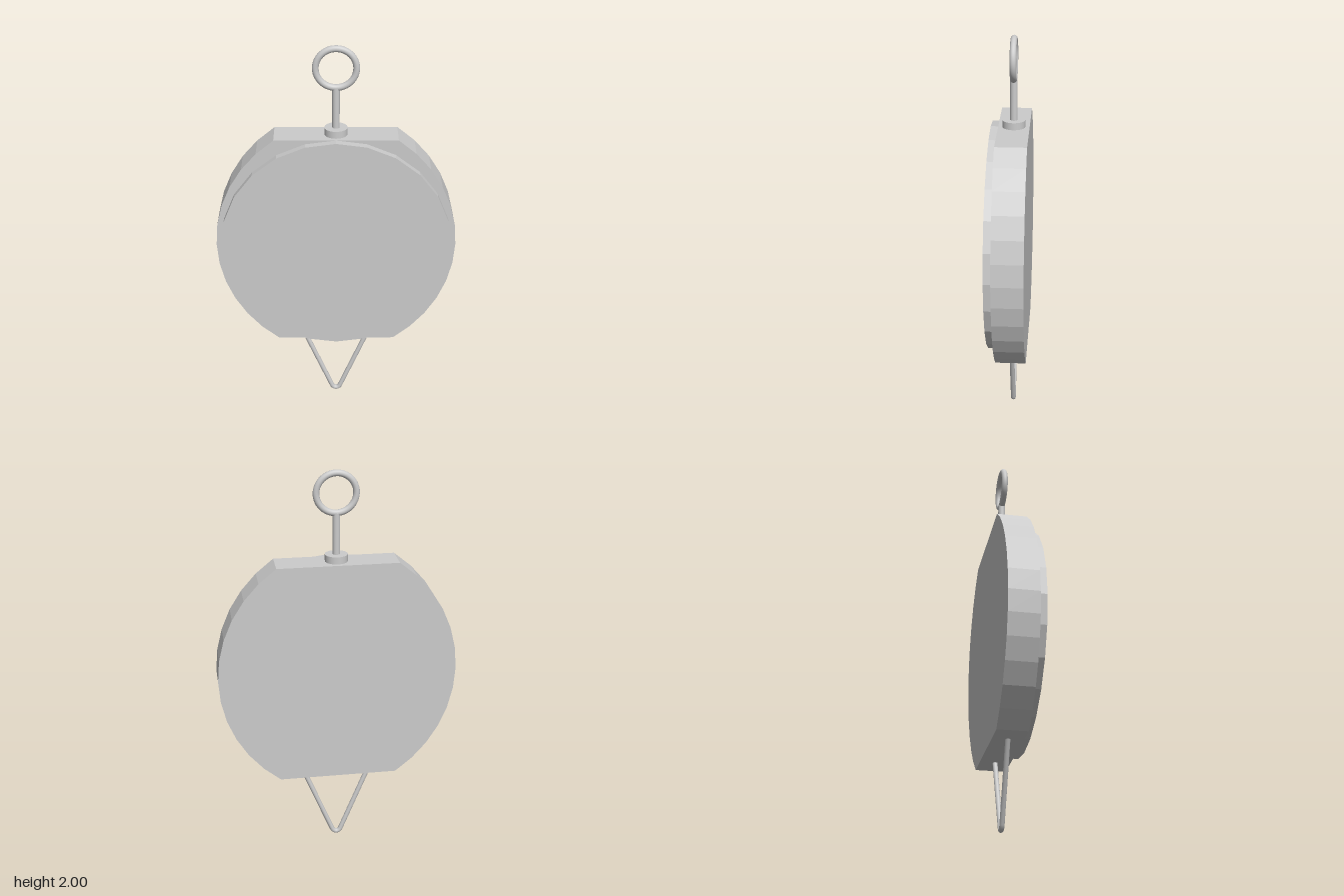
import * as THREE from 'three';

export function createModel() {
  const model = new THREE.Group();
  const flat = new THREE.MeshStandardMaterial({ color: 0xcccccc, flatShading: true });
  const smooth = new THREE.MeshStandardMaterial({ color: 0xcccccc });
  const midY = 0.975, axisZ = -0.018;

  function add(name, geometry, material, x, y, z) {
    const mesh = new THREE.Mesh(geometry, material);
    mesh.name = name;
    mesh.position.set(x, y, z);
    model.add(mesh);
    return mesh;
  }

  // Case: two bulging sides, flat top and bottom
  const halfW = 0.6, flatHalf = 0.3, halfH = 0.575;
  const sag = halfW - flatHalf;
  const radius = (halfH * halfH + sag * sag) / (2 * sag);
  const sweep = Math.asin(halfH / radius);
  const outline = [];
  for (const side of [1, -1]) {
    for (let i = 0; i <= 12; i++) {
      const a = side * sweep * (i / 6 - 1);
      outline.push(new THREE.Vector2(
        side * (halfW - radius + radius * Math.cos(a)), radius * Math.sin(a)));
    }
  }
  add('case', new THREE.ExtrudeGeometry(new THREE.Shape(outline),
    { depth: 0.153, bevelEnabled: false }), flat, 0, midY, -0.095);

  // Raised round face plate
  const plate = new THREE.CylinderGeometry(0.575, 0.575, 0.045, 24);
  plate.rotateX(Math.PI / 2);
  add('facePlate', plate, flat, 0, midY, 0.0725);

  // Collar, stem and hanging ring on top
  add('collar', new THREE.CylinderGeometry(0.056, 0.056, 0.045, 32), smooth, 0, 1.563, axisZ);
  add('stem', new THREE.CylinderGeometry(0.018, 0.018, 0.24, 20), smooth, 0, 1.67, axisZ);
  add('hangingRing', new THREE.TorusGeometry(0.097, 0.016, 14, 48), smooth, 0, 1.887, axisZ);

  // V-shaped wire loop below, with a rounded tip
  const p = (x, y) => new THREE.Vector3(x, y, 0);
  const wire = new THREE.CurvePath();
  wire.add(new THREE.LineCurve3(p(-0.193, 0.45), p(-0.023, 0.035)));
  wire.add(new THREE.CubicBezierCurve3(
    p(-0.023, 0.035), p(-0.013, 0.01), p(0.013, 0.01), p(0.023, 0.035)));
  wire.add(new THREE.LineCurve3(p(0.023, 0.035), p(0.193, 0.45)));
  add('wireLoop', new THREE.TubeGeometry(wire, 120, 0.0125, 12), smooth, 0, -0.004, axisZ);

  return model;
}
